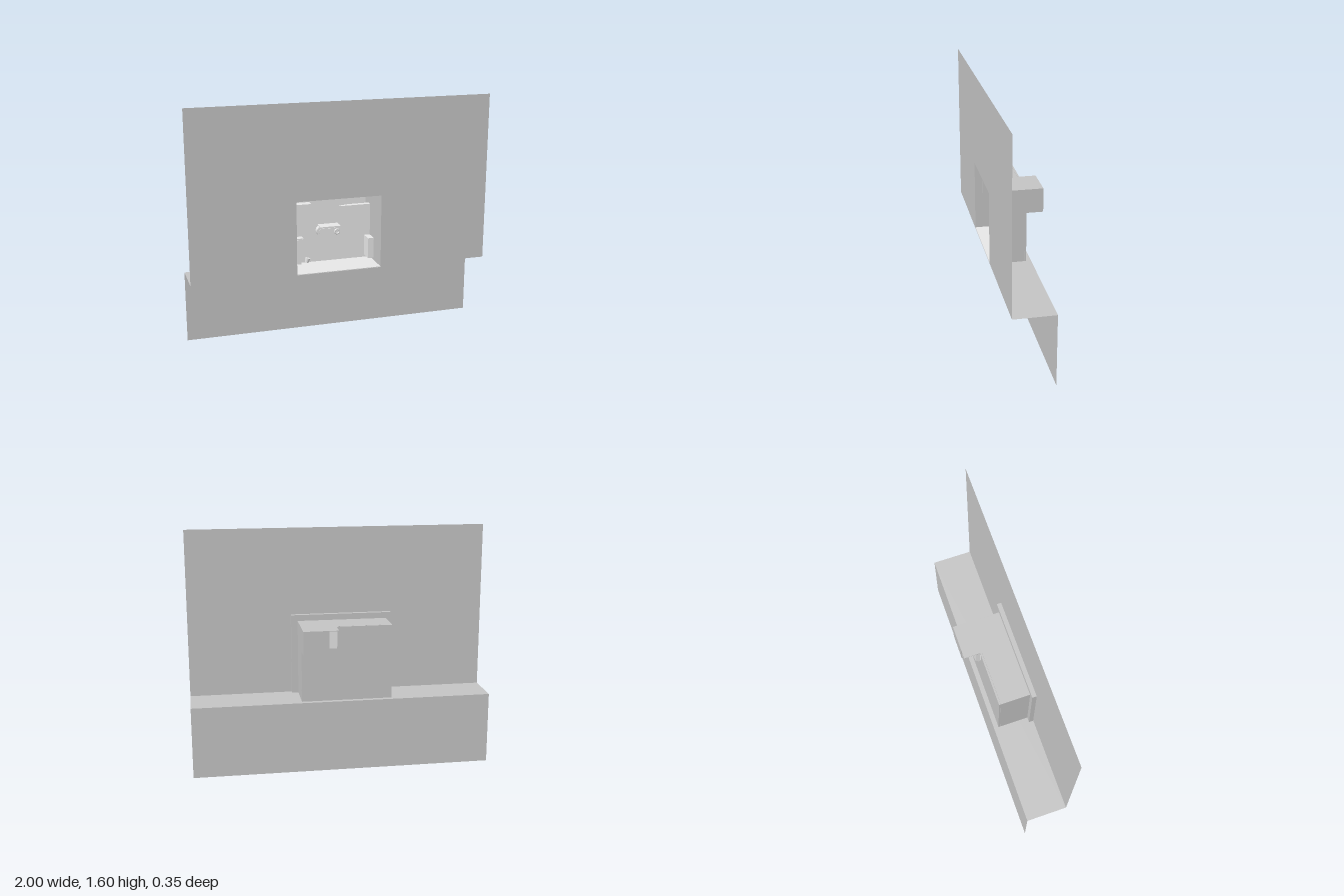
import * as THREE from 'three';

export function createModel() {
  const root = new THREE.Group();
  const grey = new THREE.MeshStandardMaterial({ color: 0xc4c4c4, side: THREE.DoubleSide });
  grey.name = 'grey plaster';
  const white = new THREE.MeshStandardMaterial({ color: 0xfafafa, side: THREE.DoubleSide });
  white.name = 'white fittings';

  const add = (name, geometry, material, parent = root) => {
    const mesh = new THREE.Mesh(geometry, material);
    mesh.name = name;
    parent.add(mesh);
    return mesh;
  };
  // Box given by its lower and upper limits on each axis
  const box = (name, x0, x1, y0, y1, z0, z1, material, parent) => {
    const mesh = add(name, new THREE.BoxGeometry(x1 - x0, y1 - y0, z1 - z0), material, parent);
    mesh.position.set((x0 + x1) / 2, (y0 + y1) / 2, (z0 + z1) / 2);
    return mesh;
  };
  const polygon = (points) => new THREE.Shape(points.map(([x, y]) => new THREE.Vector2(x, y)));
  const sheet = (name, points, z, material) => {
    const mesh = add(name, new THREE.ShapeGeometry(polygon(points)), material);
    mesh.position.z = z;
    return mesh;
  };
  const group = (name) => {
    const g = new THREE.Group();
    g.name = name;
    root.add(g);
    return g;
  };
  // Upright slab with fully rounded ends
  const stadium = (w, h, depth) => {
    const r = h / 2, s = new THREE.Shape();
    s.absarc(w / 2 - r, 0, r, -Math.PI / 2, Math.PI / 2);
    s.absarc(-w / 2 + r, 0, r, Math.PI / 2, Math.PI * 1.5);
    s.closePath();
    return new THREE.ExtrudeGeometry(s, { depth, bevelEnabled: false, curveSegments: 12 });
  };

  // Large sheets: front wall with opening, ledge, lower wall
  const L = -0.31, R = 0.26, F = 0.48, T = 0.97;
  sheet('frontWall', [[-1, F], [L, F], [L, T], [R, T], [R, F], [1, F], [1, 1.6], [-1, 1.6]], 0.172, grey);
  sheet('lowerWall', [[-1, 0], [1, 0], [1, F], [-1, F]], -0.1, grey);
  const ledge = add('ledge', new THREE.PlaneGeometry(2, 0.272), grey);
  ledge.rotation.x = -Math.PI / 2;
  ledge.position.set(0, F, 0.036);
  box('sill', -0.37, 0.32, 0.46, 0.479, -0.095, -0.055, grey);

  // Frame behind the opening
  const frame = polygon([[-0.365, F], [L, F], [L, T], [R, T], [R, F], [0.315, F], [0.315, 1.02], [-0.365, 1.02]]);
  add('openingFrame', new THREE.ExtrudeGeometry(frame, { depth: 0.03, bevelEnabled: false }), grey).position.z = 0.141;

  // Room shell
  box('rightRoomWall', -0.33, L, F, 0.98, -0.055, 0.142, grey);
  box('leftRoomWall', R, 0.272, F, 0.98, -0.055, 0.142, grey);
  box('ceiling', L, R, T, 0.98, -0.055, 0.142, grey);
  box('roomFloor', L, R, F, 0.484, -0.055, 0.17, white);
  const back = [[-0.33, F], [0.272, F], [0.272, 0.84], [0.04, 0.84], [0.04, 0.98], [-0.33, 0.98]];
  add('backWall', new THREE.ExtrudeGeometry(polygon(back), { depth: 0.012, bevelEnabled: false }), grey).position.z = -0.068;
  sheet('backWallLining', [[L, F], [R, F], [R, 0.84], [0.04, 0.84], [0.04, T], [L, T]], -0.054, white);

  // Stair recess, open below and on one side
  box('recessTop', 0.04, 0.272, 0.976, 0.98, -0.177, -0.055, grey);
  box('recessBack', 0.105, 0.272, 0.82, 0.98, -0.177, -0.173, grey);
  box('recessBackLining', 0.105, 0.268, 0.82, 0.976, -0.173, -0.171, white);
  box('recessSide', 0.268, 0.272, 0.82, 0.976, -0.173, -0.055, grey);
  box('stairLedge', 0.04, R, 0.84, 0.857, -0.085, -0.05, white);
  const stairs = group('stairs');
  for (let i = 0; i < 5; i++) {
    const x = 0.04 + i * 0.024;
    box('stairStep', x, x + 0.024, 0.857, 0.976, -0.1 - i * 0.012, -0.07 - i * 0.006, white, stairs);
  }

  // Cabinet against the back wall
  const cabinet = group('cabinet');
  box('cabinetBody', -0.305, -0.222, 0.5, 0.635, -0.054, -0.015, white, cabinet);
  box('cabinetTop', -0.31, -0.217, 0.635, 0.668, -0.054, -0.008, white, cabinet);
  box('cabinetPlinth', -0.295, -0.23, 0.484, 0.5, -0.054, -0.022, white, cabinet);
  box('cabinetDrawer', -0.285, -0.225, 0.64, 0.66, -0.008, -0.004, white, cabinet);
  const knob = add('cabinetKnob', new THREE.SphereGeometry(0.016, 16, 10), white, cabinet);
  knob.position.set(-0.295, 0.58, -0.008);
  const stool = add('floorPot', new THREE.CylinderGeometry(0.018, 0.012, 0.03, 16), white);
  stool.position.set(-0.19, 0.508, -0.025);
  stool.rotation.z = -0.3;

  // Wall basin under a thin shelf
  const basin = group('basin');
  add('basinBowl', stadium(0.165, 0.07, 0.035), white, basin).position.set(-0.04, 0.703, -0.054);
  add('basinInset', stadium(0.13, 0.04, 0.004), white, basin).position.set(-0.045, 0.7, -0.019);
  box('basinShelf', -0.11, 0.03, 0.737, 0.743, -0.054, 0.022, white, basin);
  const tap = add('basinTap', new THREE.TorusGeometry(0.015, 0.006, 10, 20), white, basin);
  tap.position.set(0.015, 0.695, -0.012);

  // High shelf with small pots
  const shelf = group('highShelf');
  box('shelfBoard', L, -0.165, 0.895, 0.902, -0.054, 0, white, shelf);
  add('shelfTray', stadium(0.075, 0.045, 0.03), white, shelf).position.set(-0.242, 0.934, -0.05);
  box('shelfBracket', -0.29, -0.25, 0.86, 0.895, -0.054, -0.02, white, shelf);
  [[-0.13, 0.94, 0.024], [-0.08, 0.948, 0.016]].forEach(([x, y, r]) => {
    const pot = add('wallPot', new THREE.CylinderGeometry(r, r, 0.03, 20), white, shelf);
    pot.rotation.x = Math.PI / 2;
    pot.position.set(x, y, -0.04);
  });

  // Side wall board and low cupboard
  box('wallBoard', L, -0.304, 0.73, 0.89, -0.045, 0.12, grey);
  box('lowCupboard', 0.22, R, 0.5, 0.64, -0.054, 0.03, white);

  return root;
}
